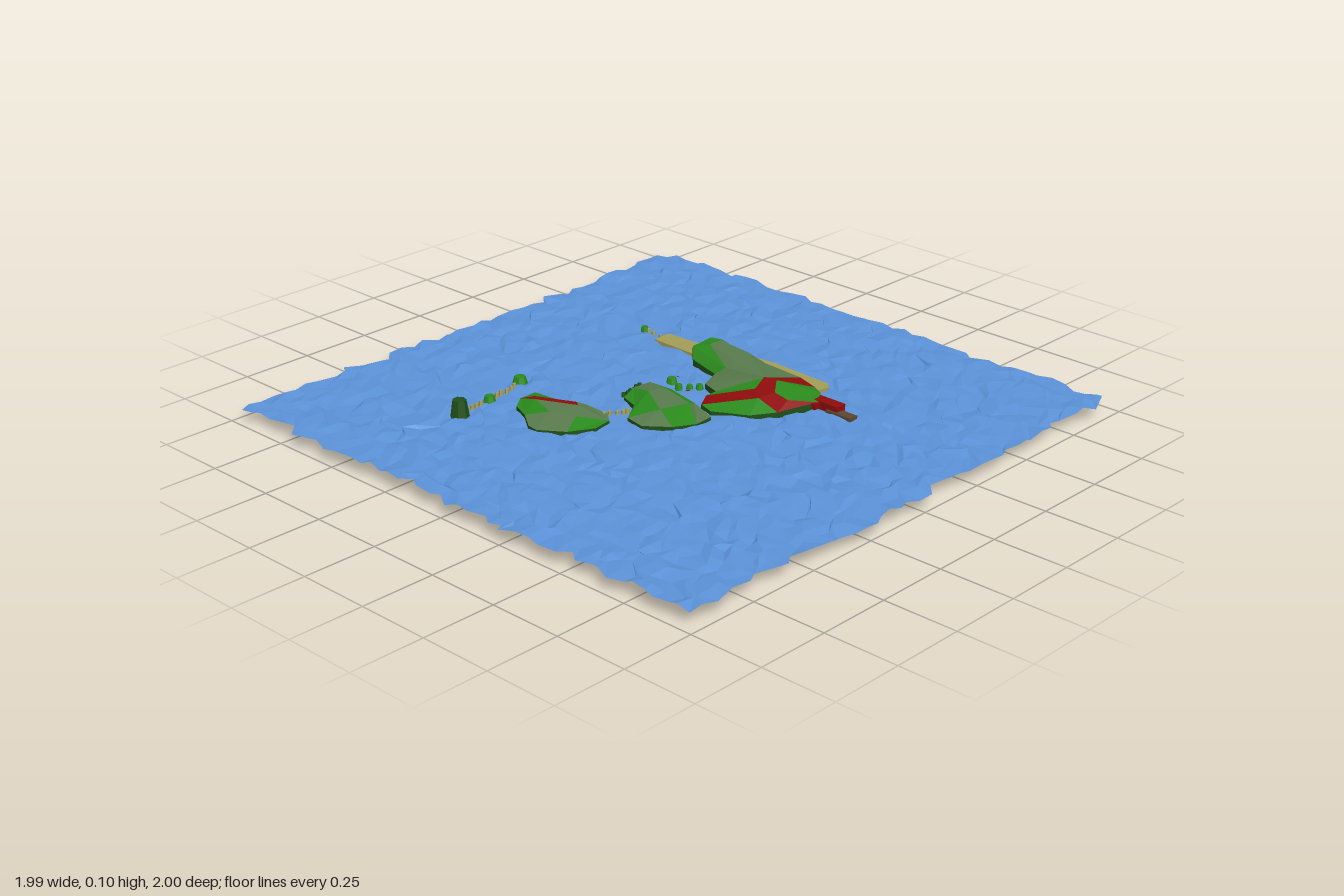
import * as THREE from 'three';

const mat = (name, color, side = THREE.DoubleSide) => {
  const m = new THREE.MeshStandardMaterial({ color, side, flatShading: true });
  m.name = name;
  return m;
};
const M = {
  water: mat('water blue', 0x5b92d8),
  grass: mat('grass green', 0x2a8a1c),
  moss: mat('moss green', 0x587a4c),
  red: mat('dark red', 0x8e0c0c),
  sand: mat('sand', 0xa39c56),
  cliff: mat('cliff green', 0x1f4f18),
  rock: mat('dark rock', 0x40362b),
  pale: mat('pale stone', 0xe4e4e4),
  wood: mat('wood', 0x5c4630),
};

// Repeatable noise in -1..1
const noise = (i, j, k) => {
  const s = Math.sin(i * 127.1 + j * 311.7 + k * 74.7) * 43758.5453;
  return (s - Math.floor(s)) * 2 - 1;
};

function add(parent, name, geometry, material) {
  const m = new THREE.Mesh(geometry, material);
  m.name = name;
  parent.add(m);
  return m;
}

// Flat or folded polygon from points [x, z, y]
function patch(points) {
  const tris = THREE.ShapeUtils.triangulateShape(points.map(p => new THREE.Vector2(p[0], -p[1])), []);
  const pos = [];
  for (const t of tris) {
    const [a, b, c] = t.map(i => points[i]);
    const up = (b[0] - a[0]) * (c[1] - a[1]) - (b[1] - a[1]) * (c[0] - a[0]) < 0;
    for (const p of up ? [a, b, c] : [a, c, b]) pos.push(p[0], p[2], p[1]);
  }
  const g = new THREE.BufferGeometry();
  g.setAttribute('position', new THREE.Float32BufferAttribute(pos, 3));
  g.computeVertexNormals();
  return g;
}

// Vertical band from the rim down to the base
function skirt(rim, y0) {
  const pos = [];
  rim.forEach((a, i) => {
    const b = rim[(i + 1) % rim.length];
    pos.push(a[0], a[2], a[1], a[0], y0, a[1], b[0], b[2], b[1]);
    pos.push(b[0], b[2], b[1], a[0], y0, a[1], b[0], y0, b[1]);
  });
  const g = new THREE.BufferGeometry();
  g.setAttribute('position', new THREE.Float32BufferAttribute(pos, 3));
  g.computeVertexNormals();
  return g;
}

// Island: the first rimCount points are the rim; faces map a colour to point lists
function island(parent, name, pts, rimCount, faces, baseY, baseMat) {
  const g = new THREE.Group();
  g.name = name;
  parent.add(g);
  const rim = pts.slice(0, rimCount);
  add(g, name + 'Cliff', skirt(rim, baseY), M.cliff);
  add(g, name + 'Base', patch(rim.map(p => [p[0], p[1], baseY])), baseMat);
  for (const [colour, idx] of faces)
    add(g, name + 'Top', patch(idx.map(i => pts[i])), M[colour]);
}

function water() {
  const n = 44, g = new THREE.PlaneGeometry(1.94, 1.94, n, n).rotateX(-Math.PI / 2);
  const p = g.attributes.position;
  for (let i = 0; i < p.count; i++) {
    const c = i % (n + 1), r = Math.floor(i / (n + 1));
    const x = p.getX(i) + noise(c, r, 1) * 0.016 + noise(c >> 1, r >> 1, 5) * 0.014;
    const z = p.getZ(i) + noise(c, r, 2) * 0.016 + noise(c >> 1, r >> 1, 6) * 0.014;
    p.setXYZ(i, x, 0.045 + noise(c, r, 3) * 0.006, z);
  }
  g.computeVertexNormals();
  return g;
}

export function createModel() {
  const model = new THREE.Group();
  model.name = 'islandSea';
  add(model, 'water', water(), M.water);

  // Large island with red tracks
  island(model, 'largeIsland', [
    [0.02, 0.085, 0.06], [0.075, 0.055, 0.065], [0.12, 0.055, 0.065], [0.15, -0.02, 0.06],
    [0.23, -0.05, 0.06], [0.26, -0.175, 0.065], [0.30, -0.215, 0.09], [0.39, -0.215, 0.095],
    [0.42, -0.19, 0.085], [0.385, -0.10, 0.09], [0.375, 0.04, 0.08], [0.365, 0.20, 0.08],
    [0.355, 0.27, 0.07], [0.325, 0.32, 0.075], [0.27, 0.355, 0.07], [0.14, 0.30, 0.06],
    [0.07, 0.245, 0.055], [0.01, 0.135, 0.055],
    [0.14, 0.22, 0.085], [0.18, 0.17, 0.09], [0.25, 0.145, 0.1], [0.26, 0.19, 0.1],
    [0.20, 0.235, 0.09], [0.20, 0.29, 0.08], [0.25, -0.02, 0.085], [0.325, -0.16, 0.105],
    [0.375, -0.16, 0.105], [0.36, -0.02, 0.105], [0.29, -0.02, 0.105],
  ], 18, [
    ['red', [0, 1, 19, 18]], ['red', [18, 19, 20, 21, 22]], ['red', [20, 11, 12, 21]],
    ['red', [18, 22, 23, 14, 15]],
    ['grass', [17, 0, 18, 15, 16]], ['grass', [1, 2, 20, 19]],
    ['grass', [22, 21, 12, 13, 14, 23]],
    ['grass', [4, 5, 6, 25, 24]], ['grass', [6, 7, 8, 26, 25]],
    ['moss', [24, 25, 28]], ['moss', [25, 26, 27, 28]], ['moss', [26, 8, 9, 10, 27]],
    ['moss', [2, 3, 4, 24, 20]], ['moss', [24, 28, 20]], ['moss', [28, 27, 10, 11, 20]],
  ], 0.025, M.red);

  // Middle island
  island(model, 'middleIsland', [
    [-0.10, -0.14, 0.055], [-0.03, -0.165, 0.06], [0.03, -0.15, 0.065], [0.035, -0.06, 0.065],
    [0.015, 0.06, 0.06], [-0.02, 0.165, 0.055], [-0.09, 0.17, 0.055], [-0.16, 0.13, 0.055],
    [-0.22, 0.055, 0.055], [-0.205, -0.02, 0.055], [-0.13, -0.065, 0.06],
    [-0.05, -0.08, 0.08], [0.005, -0.06, 0.08], [-0.03, 0.08, 0.08], [-0.12, 0.04, 0.075],
  ], 11, [
    ['grass', [0, 1, 11, 10]], ['moss', [1, 2, 12, 11]], ['grass', [2, 3, 4, 13, 12]],
    ['moss', [11, 12, 13, 14]], ['grass', [10, 11, 14, 9]], ['moss', [9, 14, 7, 8]],
    ['grass', [14, 13, 6, 7]], ['moss', [13, 4, 5, 6]],
  ], 0.025, M.rock);

  // Far island with a red gully
  island(model, 'farIsland', [
    [-0.34, -0.365, 0.06], [-0.275, -0.365, 0.06], [-0.265, -0.27, 0.06], [-0.23, -0.18, 0.06],
    [-0.225, -0.09, 0.055], [-0.26, -0.045, 0.055], [-0.33, -0.035, 0.055], [-0.41, -0.08, 0.055],
    [-0.465, -0.16, 0.055], [-0.46, -0.20, 0.055], [-0.42, -0.26, 0.06], [-0.39, -0.33, 0.06],
    [-0.335, -0.30, 0.075], [-0.32, -0.32, 0.075], [-0.26, -0.19, 0.075], [-0.275, -0.17, 0.075],
    [-0.37, -0.20, 0.075], [-0.33, -0.12, 0.07],
  ], 12, [
    ['red', [0, 13, 14, 15, 12]], ['grass', [0, 1, 2, 3, 14, 13]], ['grass', [11, 0, 12, 16, 10]],
    ['moss', [12, 15, 16]], ['moss', [16, 15, 17]], ['moss', [15, 14, 3, 4, 5, 17]],
    ['moss', [9, 10, 16, 8]], ['moss', [16, 17, 7, 8]], ['grass', [17, 5, 6, 7]],
  ], 0.028, M.pale);

  // Beach strip
  const beach = [[0.32, -0.41], [0.39, -0.41], [0.395, -0.28], [0.44, -0.26], [0.435, -0.08],
    [0.445, 0.02], [0.435, 0.26], [0.41, 0.28], [0.365, 0.27], [0.36, -0.13], [0.315, -0.2]]
    .map(([x, z]) => [x, z, 0.054]);
  add(model, 'beach', patch(beach), M.sand);
  add(model, 'beachEdge', skirt(beach, 0.04), M.sand);

  // Jetty and its red ramp
  const box = (name, x, y, z, w, h, d, m) =>
    add(model, name, new THREE.BoxGeometry(w, h, d), m).position.set(x, y, z);
  box('jetty', 0.285, 0.035, 0.44, 0.035, 0.04, 0.10, M.wood);
  box('ramp', 0.295, 0.058, 0.365, 0.04, 0.03, 0.13, M.red);
  box('rampSide', 0.265, 0.06, 0.335, 0.03, 0.02, 0.05, M.red);

  // Red roots under the large island
  [[0.10, -0.04, 0.012], [0.13, -0.10, 0.01], [0.15, -0.14, 0.012], [0.12, -0.07, 0]]
    .forEach(([x, z, y]) => box('root', x, (y + 0.045) / 2, z, 0.016, 0.045 - y, 0.022, M.red));

  // Islets: x, z, radius, top height, top colour
  [[-0.54, -0.43, 0.032, 0.1, 'cliff'], [-0.40, -0.445, 0.022, 0.065, 'grass'],
    [-0.235, -0.48, 0.027, 0.07, 'grass'], [0.37, -0.505, 0.015, 0.06, 'grass'],
    [0.105, -0.125, 0.02, 0.065, 'grass'], [0.09, -0.08, 0.014, 0.06, 'grass'],
    [0.11, -0.05, 0.013, 0.06, 'grass'], [0.135, -0.03, 0.014, 0.06, 'grass']]
    .forEach(([x, z, r, top, colour]) => {
      add(model, 'islet', new THREE.CylinderGeometry(r * 0.7, r, top - 0.04, 7), M[colour])
        .position.set(x, (top + 0.04) / 2, z);
      add(model, 'isletBase', new THREE.CylinderGeometry(r * 0.75, r * 0.7, 0.022, 7), M.red)
        .position.set(x, 0.031, z);
    });

  // Stepping stones between the islands
  const stones = (x0, z0, x1, z1, n, m) => {
    for (let i = 0; i < n; i++) {
      const t = i / (n - 1);
      add(model, 'steppingStone', new THREE.CylinderGeometry(0.006, 0.009, 0.022, 5), m)
        .position.set(x0 + (x1 - x0) * t, 0.048, z0 + (z1 - z0) * t + noise(i, n, 4) * 0.006);
    }
  };
  stones(-0.50, -0.44, -0.44, -0.445, 4, M.sand);
  stones(-0.36, -0.455, -0.27, -0.465, 5, M.sand);
  stones(-0.23, -0.10, -0.16, -0.06, 5, M.sand);
  stones(-0.08, -0.16, 0.01, -0.175, 6, M.cliff);
  stones(0.365, -0.48, 0.355, -0.42, 3, M.sand);
  return model;
}
